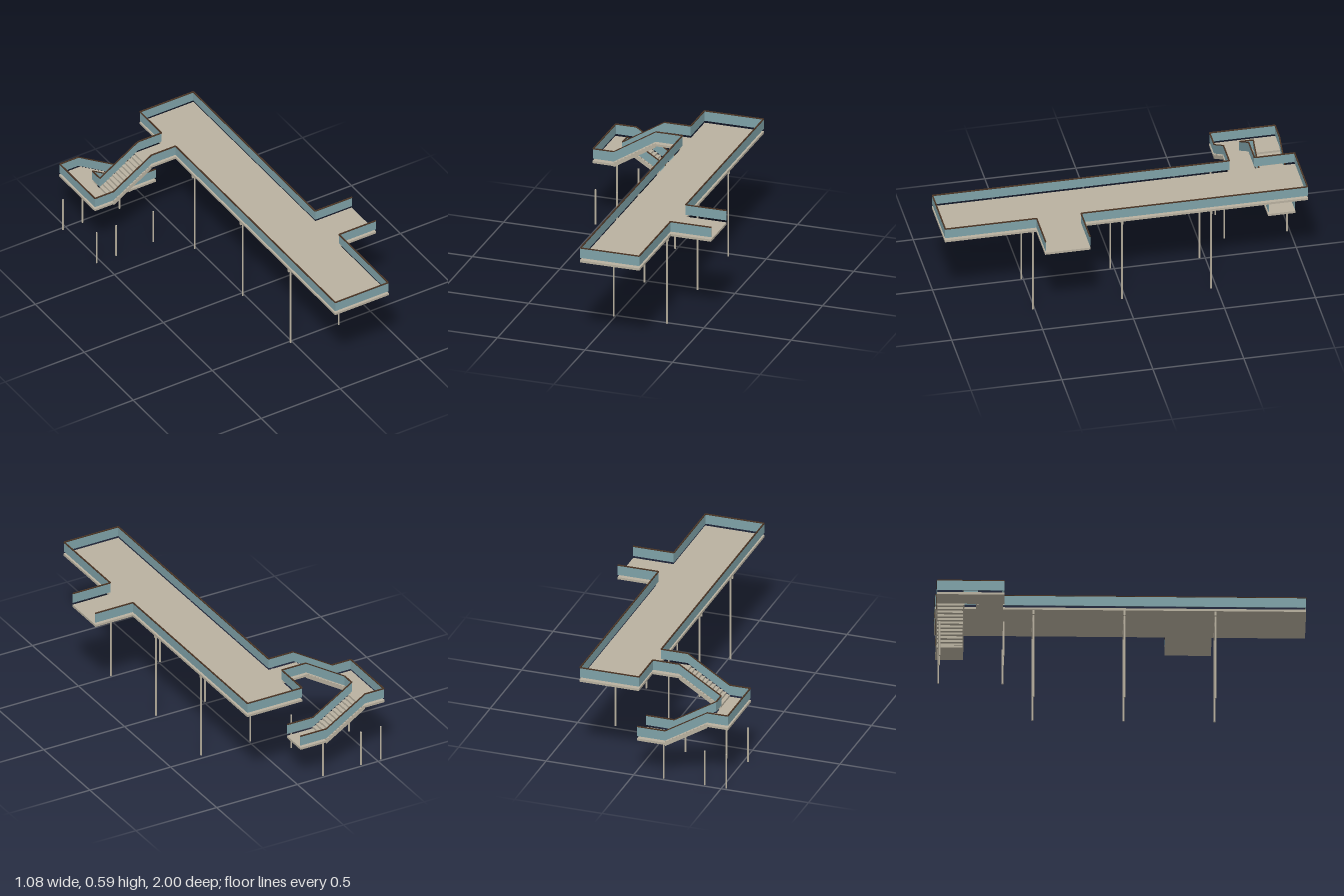
import * as THREE from 'three';

export function createModel() {
  const model = new THREE.Group();
  model.name = 'raisedWalkway';
  const concrete = new THREE.MeshStandardMaterial({ color: 0xb9b1a0 });
  concrete.name = 'concrete';
  const glass = new THREE.MeshStandardMaterial({ color: 0x7fa2a8 });
  glass.name = 'tealGlass';
  const wood = new THREE.MeshStandardMaterial({ color: 0x4a3424 });
  wood.name = 'brownHandrail';

  const add = (name, geometry, material, parent = model) => {
    const mesh = new THREE.Mesh(geometry, material);
    mesh.name = name;
    parent.add(mesh);
    return mesh;
  };

  // Box given by its limits on each axis
  const block = (name, x0, x1, y0, y1, z0, z1) =>
    add(name, new THREE.BoxGeometry(x1 - x0, y1 - y0, z1 - z0), concrete)
      .position.set((x0 + x1) / 2, (y0 + y1) / 2, (z0 + z1) / 2);

  // Upright bar from point a to b with vertical ends, low..high above the line
  function bar(a, b, low, high, thick) {
    const g = new THREE.BoxGeometry(1, 1, 1);
    const p = g.attributes.position;
    const len = Math.hypot(b[0] - a[0], b[2] - a[2]);
    const nx = -(b[2] - a[2]) / len, nz = (b[0] - a[0]) / len;
    for (let i = 0; i < p.count; i++) {
      const u = p.getX(i) + 0.5, v = p.getY(i) + 0.5, w = p.getZ(i) * thick;
      p.setXYZ(i,
        a[0] + (b[0] - a[0]) * u + nx * w,
        a[1] + (b[1] - a[1]) * u + low + (high - low) * v,
        a[2] + (b[2] - a[2]) * u + nz * w);
    }
    g.computeVertexNormals();
    return g;
  }

  // Glass panels with a handrail, following floor points
  function balustrade(name, points) {
    const group = new THREE.Group();
    group.name = name;
    for (let i = 0; i < points.length - 1; i++) {
      add('glassPanel', bar(points[i], points[i + 1], 0.013, 0.068, 0.003), glass, group);
      add('handrail', bar(points[i], points[i + 1], 0.068, 0.073, 0.007), wood, group);
    }
    model.add(group);
  }

  // Floor levels and slab thickness
  const top = 0.52, mid = 0.37, low = 0.222, slab = 0.013;

  // Decks and landings
  block('mainDeck', -0.03, 0.31, top - slab, top, -1, 0.997);
  block('sideDeck', 0.31, 0.54, top - slab, top, 0.245, 0.495);
  block('upperLanding', -0.18, -0.03, top - slab, top, -0.78, -0.635);
  block('middleLanding', -0.54, -0.42, mid - slab, mid, -1, -0.635);
  block('lowerLanding', -0.18, -0.02, low - slab, low, -1, -0.85);

  // Main supports: crossbeam on two columns
  const column = (name, x, z, h) =>
    add(name, new THREE.CylinderGeometry(0.005, 0.005, h, 12), concrete).position.set(x, h / 2, z);
  for (const z of [0.51, 0.02, -0.47]) {
    block('crossbeam', -0.026, 0.302, 0.483, top - slab, z - 0.005, z + 0.005);
    for (const x of [-0.01, 0.294]) column('mainColumn', x, z, 0.483);
  }
  // Short posts beneath the stairs
  for (const x of [-0.525, -0.402, -0.167])
    for (const z of [-0.64, -0.985]) column('stairPost', x, z, 0.203);

  // Stair flight: folded treads and risers between two stringers
  function flight(name, xTop, yTop, xEnd, yEnd, z0, z1) {
    const n = 12, run = (xEnd - xTop) / n, rise = (yTop - yEnd) / n, t = 0.004;
    const dir = Math.sign(run);
    const over = [], under = [];
    for (let i = 0; i < n; i++) {
      const x = xTop + run * i, y = yTop - rise * i;
      over.push([x, y], [x + run, y]);
      under.push([x - (i ? dir * t : 0), y - t], [x + run - dir * t, y - t]);
    }
    over.push([xEnd, yEnd]);
    under.push([xEnd - dir * t, yEnd]);
    const shape = new THREE.Shape([...over, ...under.reverse()].map(([x, y]) => new THREE.Vector2(x, y)));
    const g = new THREE.ExtrudeGeometry(shape, { depth: z1 - z0, bevelEnabled: false });
    g.translate(0, 0, z0);
    add(name + 'Steps', g, concrete);
    for (const z of [z0 + 0.003, z1 - 0.003])
      add(name + 'Stringer', bar([xTop, yTop, z], [xEnd, yEnd, z], -0.02, 0.002, 0.006), concrete);
  }
  flight('upperFlight', -0.18, top, -0.42, mid, -0.78, -0.635);
  flight('lowerFlight', -0.42, mid, -0.18, low, -1, -0.85);

  // Balustrade around the back, left side and side deck
  balustrade('leftBackBalustrade', [
    [-0.03, top, -0.78], [-0.03, top, -0.997], [0.307, top, -0.997],
    [0.307, top, 0.248], [0.54, top, 0.248]]);
  // Balustrade around the front, right side and outside of the stairs
  balustrade('frontStairBalustrade', [
    [0.54, top, 0.492], [0.307, top, 0.492], [0.307, top, 0.994], [-0.028, top, 0.994],
    [-0.028, top, -0.638], [-0.18, top, -0.638], [-0.42, mid, -0.638], [-0.537, mid, -0.638],
    [-0.537, mid, -0.997], [-0.42, mid, -0.997], [-0.18, low, -0.997], [-0.02, low, -0.997]]);
  // Balustrade around the stairwell
  balustrade('innerStairBalustrade', [
    [-0.03, top, -0.777], [-0.18, top, -0.777], [-0.42, mid, -0.777],
    [-0.42, mid, -0.853], [-0.18, low, -0.853], [-0.02, low, -0.853]]);

  return model;
}
